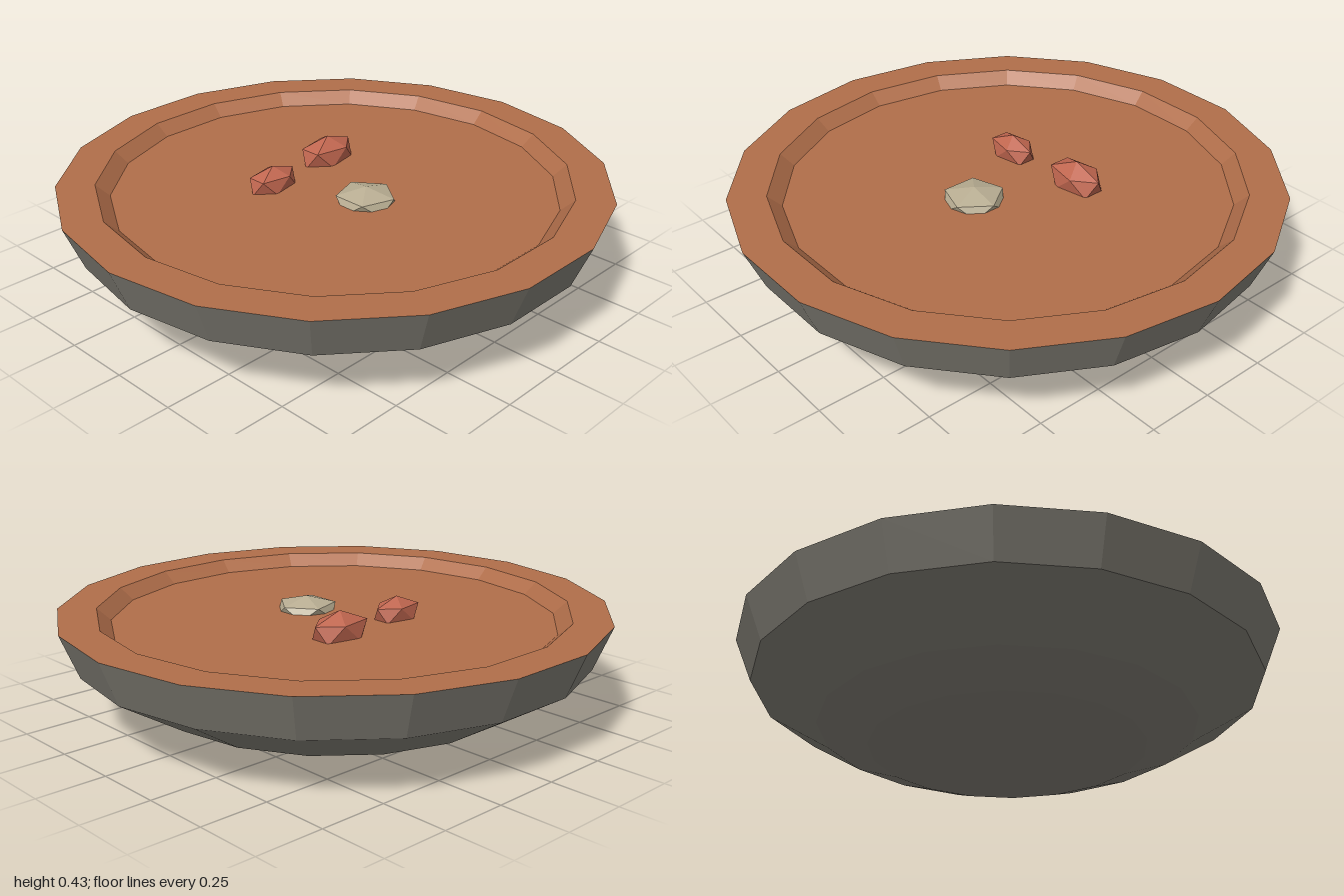
import * as THREE from 'three';

const SIDES = 18;

const material = (color) => new THREE.MeshStandardMaterial({ color, flatShading: true });

// Faceted ring surface with a corner on +x and -x
function turned(name, profile, mat) {
  const points = profile.map(([r, y]) => new THREE.Vector2(r, y));
  const mesh = new THREE.Mesh(new THREE.LatheGeometry(points, SIDES, Math.PI / 2), mat);
  mesh.name = name;
  return mesh;
}

// Squashed icosahedron with one corner pointing up
function chunk(name, position, radii, mat) {
  const geometry = new THREE.IcosahedronGeometry(1, 0);
  geometry.rotateZ(-Math.atan2(1, (1 + Math.sqrt(5)) / 2));
  geometry.scale(...radii);
  const mesh = new THREE.Mesh(geometry, mat);
  mesh.name = name;
  mesh.position.set(...position);
  return mesh;
}

export function createModel() {
  const group = new THREE.Group();
  group.name = 'bowlOfStew';

  const stone = material(0x7f7c73);
  const clay = material(0xb06e4a);
  const red = material(0xc0664f);
  const pale = material(0xb8ad92);
  stone.side = clay.side = THREE.DoubleSide;

  // Outer shell with closed base
  group.add(turned('bowlShell', [[0, 0], [0.505, 0], [0.69, 0.07], [0.935, 0.22], [1, 0.38]], stone));

  // Flat rim and sloping inner wall
  group.add(turned('rim', [[1, 0.38], [0.86, 0.38], [0.81, 0.335]], clay));

  // Level filling
  const filling = new THREE.Mesh(new THREE.CircleGeometry(0.815, SIDES), clay);
  filling.name = 'filling';
  filling.rotation.x = -Math.PI / 2;
  filling.position.y = 0.335;
  group.add(filling);

  // Chunks floating in the filling
  group.add(chunk('redChunkLeft', [0.155, 0.358, -0.193], [0.128, 0.07, 0.078], red));
  group.add(chunk('redChunkRight', [-0.16, 0.356, -0.16], [0.11, 0.06, 0.067], red));
  group.add(chunk('paleChunk', [-0.003, 0.335, 0.155], [0.122, 0.05, 0.122], pale));

  return group;
}
